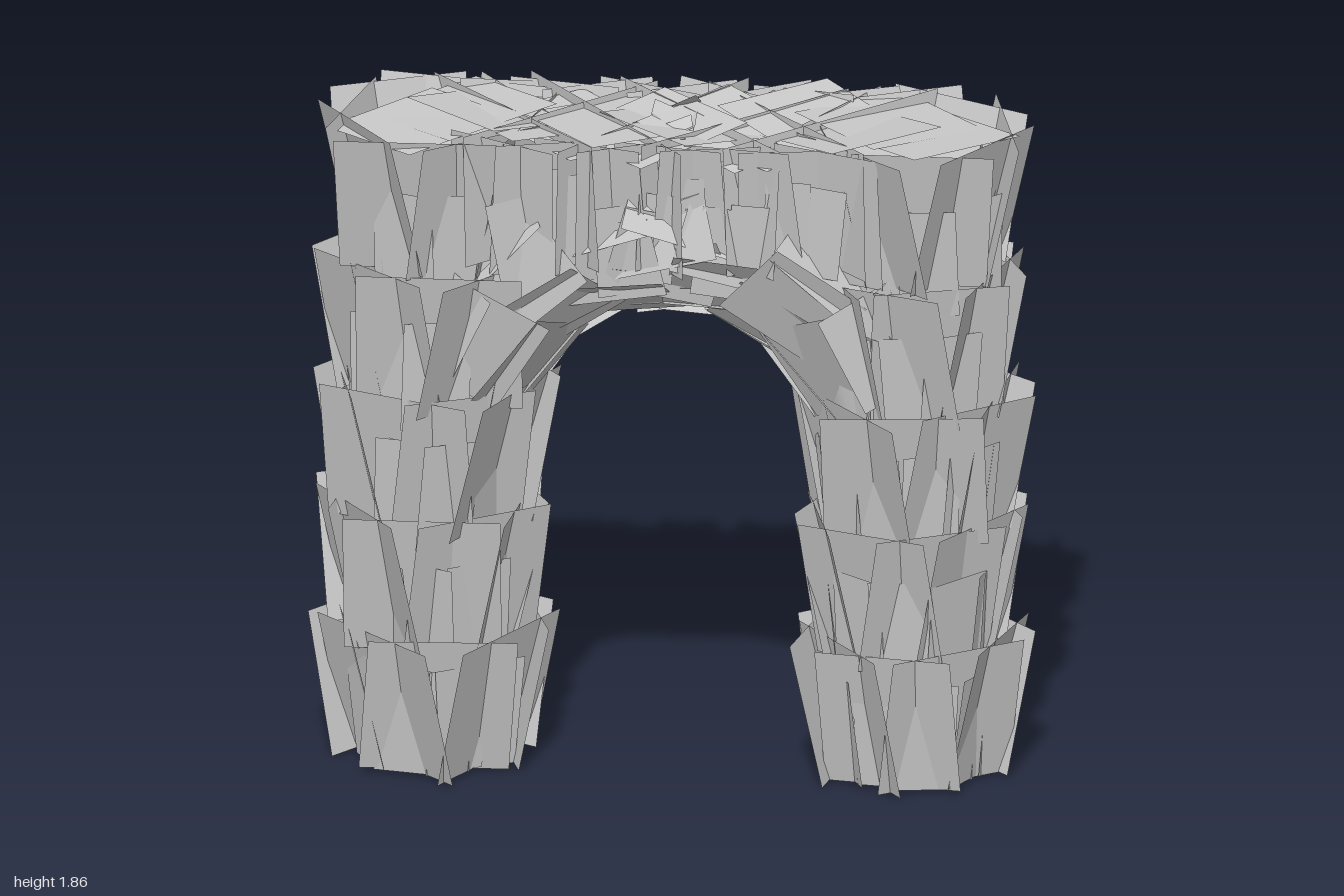
import * as THREE from 'three';
import { mergeGeometries } from 'three/addons/utils/BufferGeometryUtils.js';

const leafMat = new THREE.MeshStandardMaterial({ color: 0xcccccc, side: THREE.DoubleSide });

// small seeded generator, returns -1..1
let seed = 7;
function rnd() {
  seed = (seed * 16807) % 2147483647;
  return (seed / 2147483647) * 2 - 1;
}

const V = (x, y, z) => new THREE.Vector3(x, y, z);
const UP = V(0, 1, 0);
const LEG_X = 0.63;

// one foliage card: centred on pos, facing normal, its top edge leaning outwards
function card(pos, normal, up, w, h, lean, yaw = 0, roll = 0) {
  const z = normal.clone().normalize();
  const x = up.clone().cross(z).normalize();
  const y = z.clone().cross(x);
  const g = new THREE.PlaneGeometry(w, h);
  g.rotateZ(roll);
  g.rotateX(lean);
  g.rotateY(yaw);
  g.applyMatrix4(new THREE.Matrix4().makeBasis(x, y, z).setPosition(pos));
  return g;
}

// a ring of cards round an axis, flaring from radius r0 at the bottom to r1 at the top
function ring(center, axis, { count, phase, r0, r1, w, h, yaw }) {
  const v = V(0, 0, 1);
  const u = axis.clone().cross(v).normalize();
  const cards = [];
  for (let i = 0; i < count; i++) {
    const a = ((i + phase) / count) * Math.PI * 2 + rnd() * 0.08;
    const n = u.clone().multiplyScalar(Math.cos(a)).addScaledVector(v, Math.sin(a));
    const pos = center.clone().addScaledVector(n, (r0 + r1) / 2 + rnd() * 0.012);
    cards.push(card(pos, n, axis, w * (1 + rnd() * 0.1), h, Math.atan((r1 - r0) / h) + rnd() * 0.03,
      rnd() * yaw, rnd() * 0.05));
  }
  return cards;
}

function mesh(name, geometry) {
  const m = new THREE.Mesh(geometry, leafMat);
  m.name = name;
  return m;
}

// wide flaring rows with narrower staggered rows showing between them
function legFoliage(side) {
  const cards = [];
  [0.44, 0.78, 1.12, 1.47, 1.855].forEach((top, row) => {
    cards.push(...ring(V(side * LEG_X, top - 0.2, 0), UP,
      { count: 8, phase: row * 0.37 + side * 0.2, r0: 0.16, r1: 0.25, w: 0.41, h: 0.4, yaw: 0.16 }));
  });
  [0.36, 0.65, 1.0, 1.34, 1.7].forEach((top, row) => {
    cards.push(...ring(V(side * LEG_X, top - 0.16, 0), UP,
      { count: 10, phase: row * 0.5, r0: 0.2, r1: 0.235, w: 0.17, h: 0.31, yaw: 0.3 }));
  });
  // star of crossing cards inside the foot
  for (let i = 0; i < 6; i++) {
    const a = (i / 6) * Math.PI;
    cards.push(card(V(side * LEG_X, 0.12, 0), V(Math.cos(a), 0, Math.sin(a)), UP, 0.4, 0.14, 0, 0, rnd() * 0.06));
  }
  return mergeGeometries(cards);
}

// centre line of the bent branch on one side, from the leg to the crown
function branchCurve(side) {
  return new THREE.CatmullRomCurve3([
    V(side * 0.6, 1.02, 0), V(side * 0.5, 1.3, 0), V(side * 0.3, 1.5, 0), V(0, 1.59, 0),
  ]);
}

// rings of cards following the branch
function branchFoliage(side) {
  const curve = branchCurve(side);
  const cards = [];
  [0.3, 0.55, 0.8, 0.98].forEach((t, row) => {
    cards.push(...ring(curve.getPointAt(t), curve.getTangentAt(t),
      { count: 9, phase: row * 0.5, r0: 0.19, r1: 0.245, w: 0.24, h: 0.3, yaw: 0.15 }));
  });
  return mergeGeometries(cards);
}

// upright cards on the front and back of the span, turned alternately left and right
function spanFaces() {
  const cards = [];
  for (const f of [-1, 1]) {
    for (let i = 0; i < 9; i++) {
      const x = -0.44 + i * 0.11;
      const turn = (i % 2 ? f : -f) * (0.25 + rnd() * 0.15);
      cards.push(card(V(x + rnd() * 0.02, 1.66, f * 0.205), V(0, 0, f), V(rnd() * 0.08, 1, 0),
        0.3, 0.39, 0.16, turn, rnd() * 0.05));
    }
    for (let i = 0; i < 10; i++) {
      const x = -0.4 + i * 0.09;
      cards.push(card(V(x, 1.6 + rnd() * 0.06, f * 0.23), V(0, 0, f), V(x * 0.4, 1, 0),
        0.12, 0.26, 0.09, rnd() * 0.4, rnd() * 0.1));
    }
  }
  return mergeGeometries(cards);
}

// large shallow diagonal cards shingled over the top
function topFoliage() {
  const cards = [];
  for (let i = 0; i < 14; i++) {
    const x = -0.67 + i * 0.103;
    const turn = (i % 2 ? 1 : -1) * (0.75 + rnd() * 0.15);
    cards.push(card(V(x, 1.835 + rnd() * 0.01, rnd() * 0.06), UP, V(0, 0, -1),
      0.36, 0.36, rnd() * 0.12, rnd() * 0.12, turn));
  }
  return mergeGeometries(cards);
}

// crossing upright cards inside the span, corners showing past its faces
function spanCrossCards() {
  const cards = [];
  for (let i = 0; i < 8; i++) {
    const a = (i % 2 ? 1 : -1) * (0.75 + rnd() * 0.15);
    cards.push(card(V(-0.42 + i * 0.12, 1.68, 0), V(Math.sin(a), 0, Math.cos(a)), UP,
      0.72, 0.36, rnd() * 0.08, 0, rnd() * 0.04));
  }
  return mergeGeometries(cards);
}

export function createModel() {
  seed = 7;
  const arch = new THREE.Group();
  arch.name = 'hedgeArch';

  for (const side of [-1, 1]) {
    const leg = new THREE.Group();
    leg.name = side > 0 ? 'leftLeg' : 'rightLeg';
    const core = new THREE.CylinderGeometry(0.19, 0.19, 1.72, 14).translate(side * LEG_X, 0.94, 0);
    leg.add(mesh('legCore', core), mesh('legFoliage', legFoliage(side)));

    const branch = new THREE.Group();
    branch.name = side > 0 ? 'leftBranch' : 'rightBranch';
    const branchCore = new THREE.TubeGeometry(branchCurve(side), 10, 0.19, 12);
    branch.add(mesh('branchCore', branchCore), mesh('branchFoliage', branchFoliage(side)));
    arch.add(leg, branch);
  }

  const span = new THREE.Group();
  span.name = 'span';
  span.add(
    mesh('spanFaceFoliage', spanFaces()),
    mesh('spanCrossCards', spanCrossCards()),
    mesh('topFoliage', topFoliage()),
  );
  arch.add(span);
  return arch;
}
